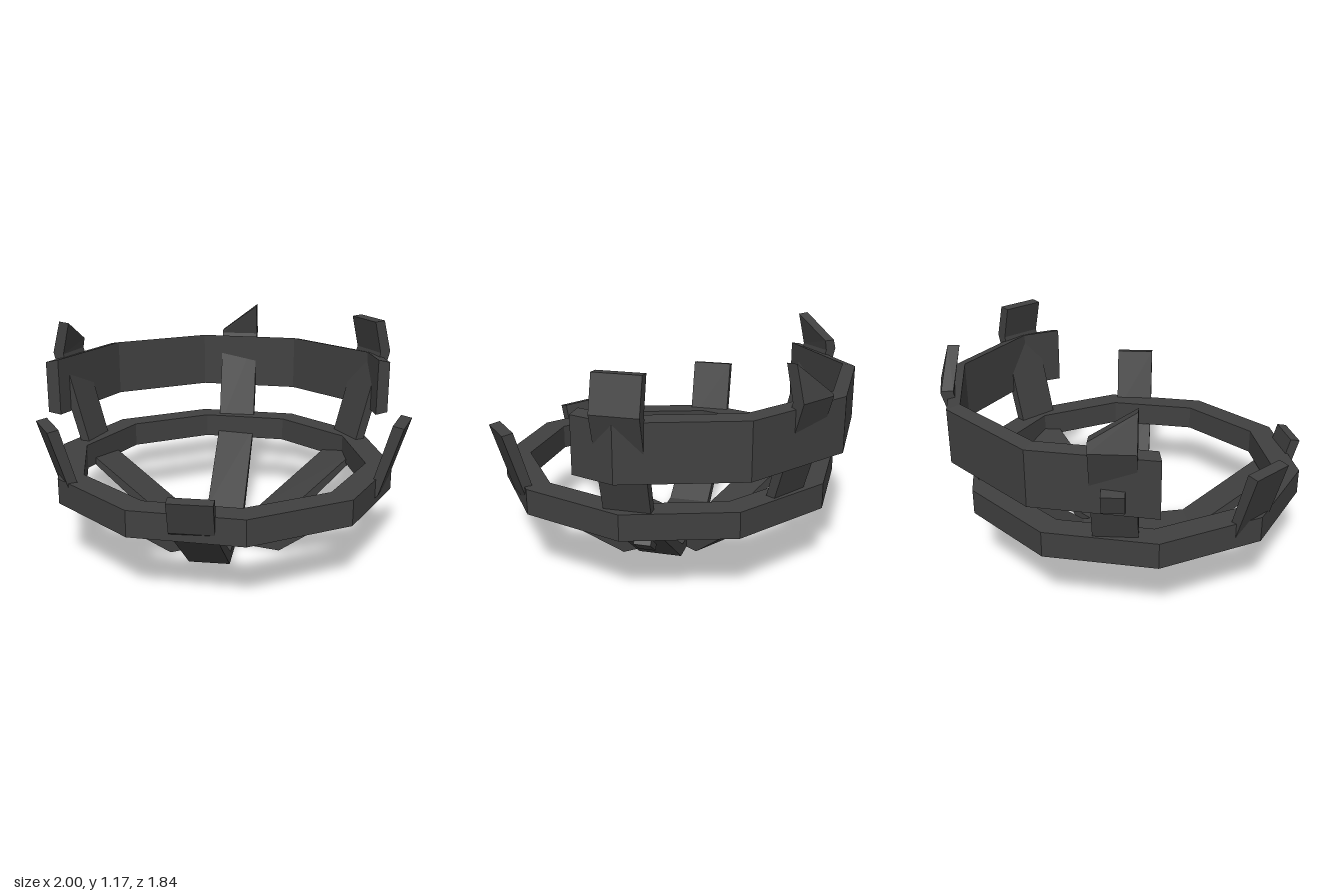
import * as THREE from 'three';

const material = new THREE.MeshStandardMaterial({ color: 0x404040, flatShading: true, side: THREE.DoubleSide });

function addMesh(parent, geometry, name) {
  const mesh = new THREE.Mesh(geometry, material);
  mesh.name = name;
  parent.add(mesh);
  return mesh;
}

// Radius of the steep upper part of a rib at height y
const outerR = y => 0.855 + (y - 0.395) * 0.3025;
const innerR = y => 0.805 + (y - 0.4) * 0.28;

// Bent strap from the hub outwards; cutY breaks it off early, lowSide/lowY slant its tip
function ribGeometry({ cutY, width, lowSide = 0, lowY = 1 }) {
  const top = cutY
    ? [[outerR(cutY - 0.01), cutY - 0.01], [innerR(cutY), cutY]]
    : [[1.035, 0.99], [0.985, 1.17], [0.925, 1.165], [0.97, 0.985]];
  const profile = [[0, 0], [0.335, 0], [0.855, 0.395], ...top, [0.805, 0.4], [0.3, 0.055], [0, 0.055]];
  const shape = new THREE.Shape(profile.map(p => new THREE.Vector2(...p)));
  const geo = new THREE.ExtrudeGeometry(shape, { depth: width, bevelEnabled: false });
  geo.translate(0, 0, -width / 2);
  const pos = geo.attributes.position;
  for (let i = 0; i < pos.count; i++) {
    if (pos.getY(i) > 1.1 && pos.getZ(i) * lowSide > 0) {
      pos.setX(i, pos.getX(i) + (1.17 - lowY) * 0.27);
      pos.setY(i, lowY);
    }
  }
  geo.computeVertexNormals();
  return geo;
}

// Closed ten-sided band
function lowerRing() {
  const loop = r => Array.from({ length: 10 }, (_, i) =>
    new THREE.Vector2(r * Math.cos(i * Math.PI / 5), r * Math.sin(i * Math.PI / 5)));
  const shape = new THREE.Shape(loop(0.92));
  shape.holes.push(new THREE.Path(loop(0.782)));
  const geo = new THREE.ExtrudeGeometry(shape, { depth: 0.135, bevelEnabled: false });
  return geo.rotateX(-Math.PI / 2).translate(-0.025, 0.35, 0.04);
}

// Broken band around the back, swept from one cross-section
function upperRing() {
  const section = [[1.003, 0.668], [1.003, 0.957], [0.932, 0.972], [0.932, 0.656]];
  const at = deg => [Math.cos(deg * Math.PI / 180), -Math.sin(deg * Math.PI / 180)];
  const path = [144, 108, 72, 36, 0].map(at);
  const next = at(-36);
  path.push(path[4].map((v, i) => v + (next[i] - v) * 0.38));
  const pos = [], index = [];
  for (const [cx, cz] of path) for (const [r, y] of section) pos.push(cx * r - 0.02, y, cz * r + 0.03);
  for (let i = 0; i < path.length - 1; i++) {
    for (let k = 0; k < 4; k++) {
      const a = i * 4 + k, b = i * 4 + (k + 1) % 4;
      index.push(a, b, b + 4, a, b + 4, a + 4);
    }
  }
  const e = (path.length - 1) * 4;
  index.push(0, 2, 1, 0, 3, 2, e, e + 1, e + 2, e, e + 2, e + 3);
  const geo = new THREE.BufferGeometry();
  geo.setAttribute('position', new THREE.Float32BufferAttribute(pos, 3));
  geo.setIndex(index);
  const flat = geo.toNonIndexed();
  flat.computeVertexNormals();
  return flat;
}

export function createModel() {
  const model = new THREE.Group();
  model.name = 'brokenBasketFrame';
  addMesh(model, lowerRing(), 'lowerRing');
  addMesh(model, upperRing(), 'upperRing');

  // Three crossing straps, each giving two ribs: centre, direction in x and z
  const ribs = [
    { name: 'leftRib', c: [-0.04, 0.015], d: [1, 0], width: 0.235, peg: true },
    { name: 'rightRib', c: [-0.04, 0.015], d: [-1, 0], width: 0.235, cutY: 0.77 },
    { name: 'backLeftRib', c: [-0.055, 0.055], d: [0.543, -0.84], width: 0.218, peg: true, lowSide: -1, lowY: 1.0 },
    { name: 'frontRightRib', c: [-0.055, 0.055], d: [-0.543, 0.84], width: 0.218, cutY: 0.57 },
    { name: 'backRightRib', c: [0.02, 0.04], d: [-0.68, -0.73], width: 0.218, peg: true, ringPeg: true, lowSide: 1, lowY: 1.04 },
    { name: 'frontLeftRib', c: [0.02, 0.04], d: [0.68, 0.73], width: 0.218, cutY: 0.775 },
  ];
  for (const rib of ribs) {
    const group = new THREE.Group();
    group.name = rib.name;
    group.position.set(rib.c[0], 0, rib.c[1]);
    group.rotation.y = Math.atan2(-rib.d[1], rib.d[0]);
    addMesh(group, ribGeometry(rib), 'strap');
    // Small blocks on the outside of the rib
    if (rib.peg) {
      const peg = addMesh(group, new THREE.BoxGeometry(0.11, 0.08, 0.09), 'peg');
      peg.position.set(0.591, 0.202, 0);
      peg.rotation.z = 0.65;
    }
    if (rib.ringPeg) {
      const peg = addMesh(group, new THREE.BoxGeometry(0.09, 0.1, 0.11), 'ringPeg');
      peg.position.set(0.98, 0.745, 0);
      peg.rotation.z = -0.29;
    }
    model.add(group);
  }
  return model;
}
